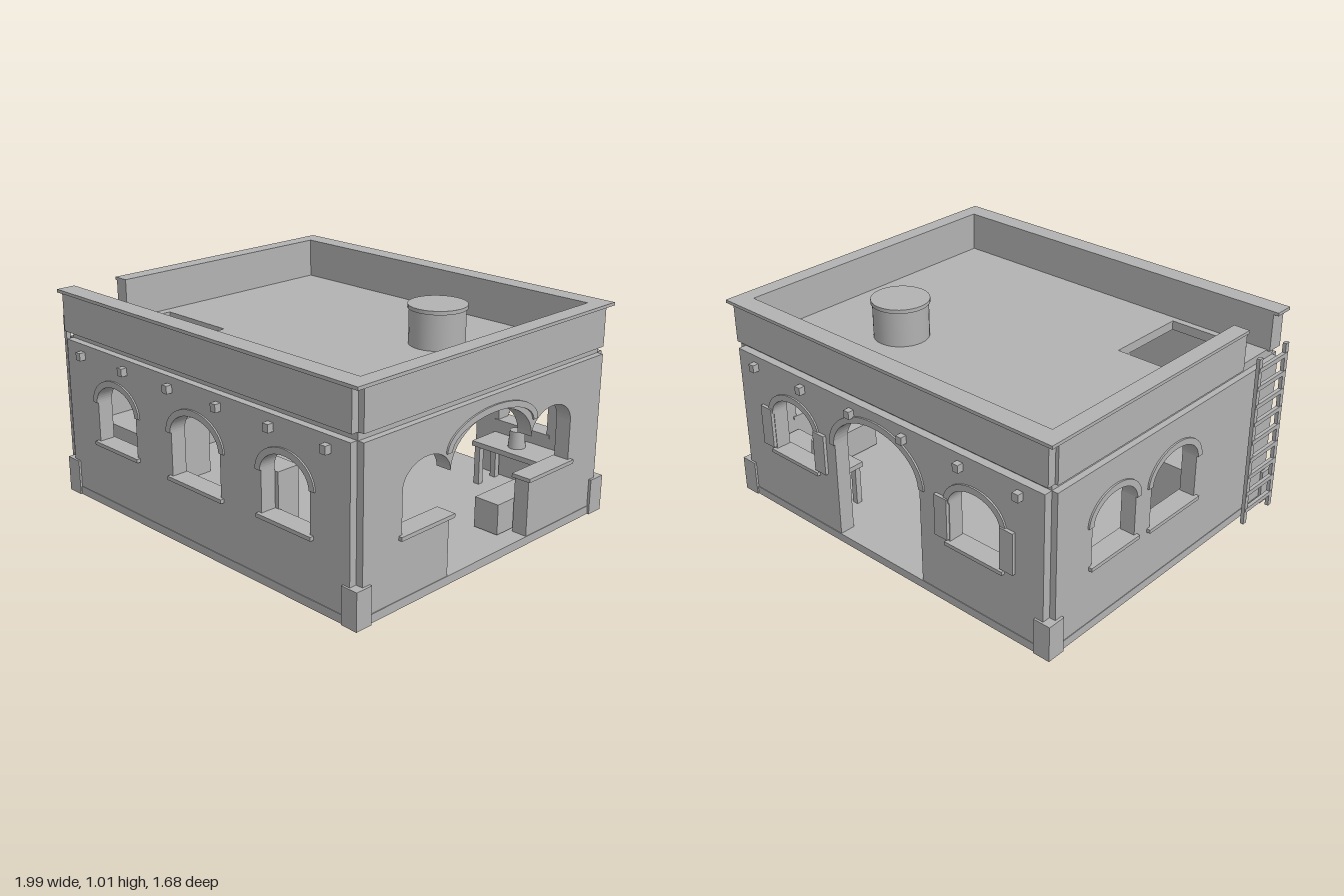
import * as THREE from 'three';

const plaster = new THREE.MeshStandardMaterial({ color: 0xb2b2b2 });
plaster.name = 'plaster grey';

const T = 0.075; // wall thickness

function add(parent, name, geometry) {
  const m = new THREE.Mesh(geometry, plaster);
  m.name = name;
  parent.add(m);
  return m;
}

// Box given by its minimum and maximum on each axis
function block(parent, name, x0, x1, y0, y1, z0, z1) {
  const m = add(parent, name, new THREE.BoxGeometry(x1 - x0, y1 - y0, z1 - z0));
  m.position.set((x0 + x1) / 2, (y0 + y1) / 2, (z0 + z1) / 2);
  return m;
}

function extrude(shape, depth) {
  return new THREE.ExtrudeGeometry(shape, { depth, bevelEnabled: false, curveSegments: 14 });
}

const rect = (P, x0, x1, y0, y1) => {
  const p = new P();
  p.moveTo(x0, y0).lineTo(x1, y0).lineTo(x1, y1).lineTo(x0, y1).closePath();
  return p;
};

// Opening with an elliptical head: c centre, h half width
function archHole({ c, h, bottom, spring, top }) {
  const p = new THREE.Path();
  p.moveTo(c - h, bottom).lineTo(c + h, bottom).lineTo(c + h, spring);
  p.absellipse(c, spring, h, top - spring, 0, Math.PI, false, 0);
  p.closePath();
  return p;
}

// Raised band round the head of an arch
function archTrim(parent, { c, h, spring, top }) {
  const w = 0.03, s = new THREE.Shape();
  s.moveTo(c + h + w, spring);
  s.absellipse(c, spring, h + w, top - spring + w, 0, Math.PI, false, 0);
  s.lineTo(c - h, spring);
  s.absellipse(c, spring, h, top - spring, Math.PI, 0, true, 0);
  s.closePath();
  add(parent, 'archTrim', extrude(s, 0.008));
}

function sill(parent, { c, h, bottom }) {
  block(parent, 'windowSill', c - h - 0.018, c + h + 0.018, bottom - 0.018, bottom, -T - 0.005, 0.018);
}

// Side of the house: local x runs along the wall, local z points outwards
function side(root, name, x, z, angle) {
  const g = new THREE.Group();
  g.name = name;
  g.position.set(x, 0, z);
  g.rotation.y = angle;
  root.add(g);
  return g;
}

function wall(parent, shape) {
  add(parent, 'wall', extrude(shape, T)).position.z = -T;
}

const small = c => ({ c, h: 0.143, bottom: 0.325, spring: 0.515, top: 0.62 });
const large = c => ({ c, h: 0.163, bottom: 0.312, spring: 0.515, top: 0.63 });
const beams = [-0.79, -0.47, -0.147, 0.175, 0.497, 0.82];

function beamEnds(parent, sign) {
  for (const x of beams) block(parent, 'beamEnd', sign * x - 0.016, sign * x + 0.016, 0.703, 0.74, -0.01, 0.03);
}

function createModel() {
  const root = new THREE.Group();
  root.name = 'house';

  block(root, 'floor', -0.948, 0.978, 0, 0.04, -0.818, 0.813);

  // Front with three windows
  const front = side(root, 'frontSide', 0, 0.81, 0);
  const fs = rect(THREE.Shape, -0.915, 0.94, 0.04, 0.775);
  for (const w of [small(-0.547), large(0.015), small(0.578)]) {
    fs.holes.push(archHole(w));
    archTrim(front, w);
    sill(front, w);
  }
  wall(front, fs);
  beamEnds(front, 1);

  // Back with a doorway and two shuttered windows
  const back = side(root, 'backSide', 0, -0.815, Math.PI);
  const door = { c: -0.035, h: 0.265, spring: 0.51, top: 0.7 };
  const bs = new THREE.Shape();
  bs.moveTo(-0.94, 0.04).lineTo(door.c - door.h, 0.04).lineTo(door.c - door.h, door.spring);
  bs.absellipse(door.c, door.spring, door.h, door.top - door.spring, Math.PI, 0, true, 0);
  bs.lineTo(door.c + door.h, 0.04).lineTo(0.915, 0.04).lineTo(0.915, 0.775).lineTo(-0.94, 0.775).closePath();
  archTrim(back, door);
  for (const w of [small(-0.578), small(0.547)]) {
    bs.holes.push(archHole(w));
    archTrim(back, w);
    sill(back, w);
    for (const s of [-1, 1]) {
      const c = w.c + s * 0.182;
      block(back, 'shutter', c - 0.036, c + 0.036, 0.335, 0.535, -0.002, 0.016);
    }
  }
  wall(back, bs);
  beamEnds(back, -1);

  // Right side: wide doorway merged with a window on each hand
  const right = side(root, 'archSide', 0.975, 0, Math.PI / 2);
  const rs = new THREE.Shape();
  const d = 0.268, c = 0.411, o = 0.554, y = 0.515;
  rs.moveTo(-0.775, 0.04).lineTo(-d, 0.04).lineTo(-d, 0.325).lineTo(-o, 0.325).lineTo(-o, y);
  rs.absellipse(-c, y, 0.143, 0.105, Math.PI, 0, true, 0);
  rs.absellipse(0, y, d, 0.185, Math.PI, 0, true, 0);
  rs.absellipse(c, y, 0.143, 0.105, Math.PI, 0, true, 0);
  rs.lineTo(o, 0.325).lineTo(d, 0.325).lineTo(d, 0.04).lineTo(0.775, 0.04);
  rs.lineTo(0.775, 0.775).lineTo(-0.775, 0.775).closePath();
  wall(right, rs);
  archTrim(right, { c: 0, h: d, spring: y + 0.08, top: 0.7 });
  for (const s of [-1, 1]) sill(right, small(s * c));

  // Left side with two windows
  const left = side(root, 'ladderSide', -0.945, 0, -Math.PI / 2);
  const ls = rect(THREE.Shape, -0.775, 0.775, 0.04, 0.775);
  for (const w of [small(-0.411), large(0.003)]) {
    ls.holes.push(archHole(w));
    archTrim(left, w);
    sill(left, w);
  }
  wall(left, ls);

  // Corner plinths
  for (const [x0, x1] of [[-0.958, -0.873], [0.903, 0.988]])
    for (const [z0, z1] of [[-0.825, -0.735], [0.735, 0.82]])
      block(root, 'cornerPlinth', x0, x1, 0, 0.173, z0, z1);

  // Roof slab with an open hatch
  const roof = rect(THREE.Shape, -0.915, 0.945, -0.775, 0.775);
  roof.holes.push(rect(THREE.Path, -0.83, -0.42, -0.69, -0.27));
  const slab = add(root, 'roof', extrude(roof, 0.045));
  slab.rotation.x = -Math.PI / 2;
  slab.position.y = 0.77;

  // Parapet and coping, open above the ladder
  const parapet = new THREE.Group();
  parapet.name = 'parapet';
  root.add(parapet);
  const runs = [
    [-0.93, 0.945, 0.725, 0.81], [-0.93, 0.945, -0.815, -0.73],
    [0.905, 0.975, -0.775, 0.775], [-0.945, -0.875, -0.775, 0.49],
  ];
  for (const [x0, x1, z0, z1] of runs) block(parapet, 'parapetWall', x0, x1, 0.81, 0.995, z0, z1);
  block(parapet, 'coping', -0.955, 0.985, 0.993, 1.008, 0.725, 0.82);
  block(parapet, 'coping', -0.955, 0.985, 0.993, 1.008, -0.825, -0.73);
  block(parapet, 'coping', 0.905, 0.985, 0.993, 1.008, -0.73, 0.725);
  block(parapet, 'coping', -0.955, -0.875, 0.993, 1.008, -0.73, 0.49);

  // Roof tank
  const tank = add(root, 'tank', new THREE.CylinderGeometry(0.13, 0.13, 0.18, 32));
  tank.position.set(0.425, 0.9, -0.27);
  const lid = add(root, 'tankLid', new THREE.CylinderGeometry(0.137, 0.137, 0.018, 32));
  lid.position.set(0.425, 0.992, -0.27);

  // Ladder
  const ladder = new THREE.Group();
  ladder.name = 'ladder';
  root.add(ladder);
  for (const z of [0.53, 0.745]) block(ladder, 'ladderRail', -0.998, -0.98, 0, 0.865, z, z + 0.025);
  for (let i = 0; i < 9; i++) {
    const h = 0.06 + i * 0.092;
    block(ladder, 'ladderRung', -1, -0.982, h, h + 0.022, 0.535, 0.765);
  }

  // Furniture
  block(root, 'cabinet', 0.165, 0.455, 0.04, 0.49, 0.62, 0.735);
  block(root, 'chest', -0.87, -0.58, 0.04, 0.355, 0.25, 0.68);
  block(root, 'bench', 0.76, 0.89, 0.05, 0.195, -0.45, -0.17);
  block(root, 'tableTop', 0.42, 0.88, 0.235, 0.26, -0.735, -0.56);
  for (const x of [0.43, 0.84])
    for (const z of [-0.725, -0.6]) block(root, 'tableLeg', x, x + 0.03, 0.04, 0.235, z, z + 0.03);
  const pot = add(root, 'pot', new THREE.CylinderGeometry(0.035, 0.042, 0.085, 20));
  pot.position.set(0.617, 0.302, -0.65);

  return root;
}

export { createModel };
